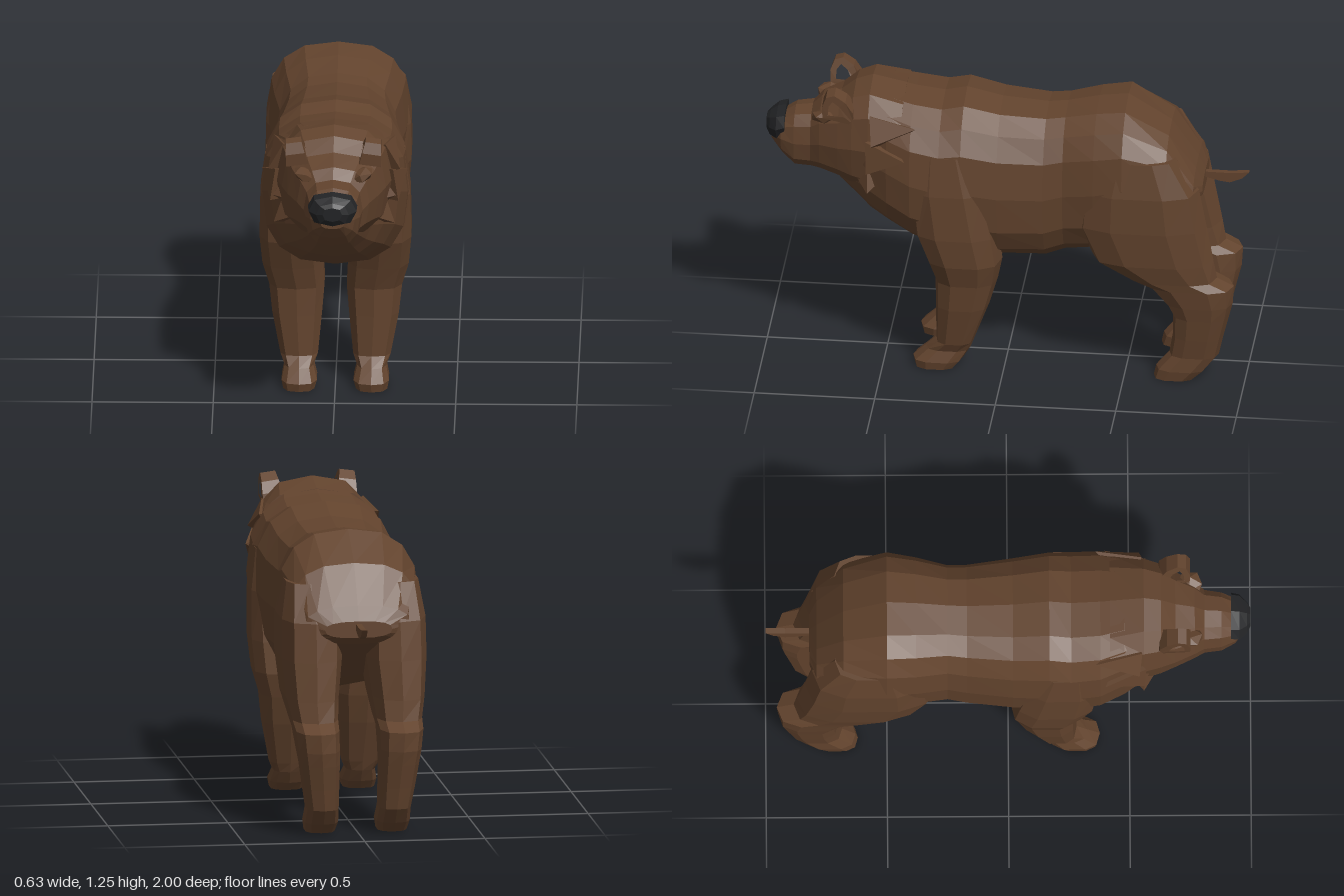
import * as THREE from 'three';

const brown = new THREE.MeshStandardMaterial({ color: 0x62432d });
brown.name = 'brown fur';
const black = new THREE.MeshStandardMaterial({ color: 0x222325 });
black.name = 'black nose';

// faceted mesh: unshared corners give flat normals
function facet(name, geometry, material = brown) {
  const g = geometry.index ? geometry.toNonIndexed() : geometry;
  g.computeVertexNormals();
  const mesh = new THREE.Mesh(g, material);
  mesh.name = name;
  return mesh;
}

const pow = (v, e) => Math.sign(v) * Math.pow(Math.abs(v), e);

// closed skin through rings of n points, with a cap at both ends
function loft(rings, n) {
  const idx = [];
  for (let i = 0; i < rings.length - 1; i++) {
    for (let j = 0; j < n; j++) {
      const a = i * n + j, b = i * n + (j + 1) % n, c = a + n, d = b + n;
      idx.push(a, b, d, a, d, c);
    }
  }
  const last = (rings.length - 1) * n;
  for (let j = 1; j < n - 1; j++) {
    idx.push(0, j + 1, j, last, last + j, last + j + 1);
  }
  const g = new THREE.BufferGeometry();
  g.setAttribute('position', new THREE.Float32BufferAttribute(rings.flat(2), 3));
  g.setIndex(idx);
  return g;
}

// sections along z: [z, top, bottom, half width]
function alongZ(sections, n, e) {
  return loft(sections.map(([z, top, bottom, w]) => Array.from({ length: n }, (_, j) => {
    const t = (j / n) * Math.PI * 2;
    return [w * pow(Math.cos(t), e), (top + bottom) / 2 + (top - bottom) / 2 * pow(Math.sin(t), e), z];
  })), n);
}

// sections going up: [y, inner x, outer x, back z, front z], on one side of the body
function alongY(sections, side, n = 10, e = 0.72) {
  return loft(sections.map(([y, x0, x1, z0, z1]) => Array.from({ length: n }, (_, j) => {
    const t = ((j + 0.5) / n) * Math.PI * 2;
    return [side * (x0 + x1) / 2 + (x1 - x0) / 2 * pow(Math.cos(t), e) * 1.03, y,
      (z0 + z1) / 2 - (z1 - z0) / 2 * pow(Math.sin(t), e)];
  })), n);
}

// flat-sided fur tuft from a base point to a tip, thinned across x
function tuft(base, tip, radius) {
  const a = new THREE.Vector3(...base), b = new THREE.Vector3(...tip);
  const dir = b.clone().sub(a);
  const g = new THREE.ConeGeometry(radius, dir.length(), 4);
  g.applyQuaternion(new THREE.Quaternion().setFromUnitVectors(new THREE.Vector3(0, 1, 0), dir.normalize()));
  const mid = a.add(b).multiplyScalar(0.5);
  return g.translate(mid.x, mid.y, mid.z);
}

// outline given as [z, y], extruded to a thickness across x
function plateX(outline, thickness, hole) {
  const pts = (list) => list.map(([z, y]) => new THREE.Vector2(-z, y));
  const shape = new THREE.Shape(pts(outline));
  if (hole) shape.holes.push(new THREE.Path(pts(hole)));
  const g = new THREE.ExtrudeGeometry(shape, { depth: thickness, bevelEnabled: false });
  return g.translate(0, 0, -thickness / 2).rotateY(Math.PI / 2);
}

// arched ear, open through the middle, wide at the base and narrow at the crown
function earShape(side) {
  const g = plateX([
    [0.75, 1.14], [0.752, 1.19], [0.735, 1.235], [0.7, 1.245], [0.655, 1.215], [0.625, 1.17], [0.615, 1.11],
  ], 0.09, [
    [0.728, 1.155], [0.725, 1.195], [0.708, 1.217], [0.68, 1.195], [0.66, 1.15],
  ]);
  const p = g.attributes.position;
  for (let i = 0; i < p.count; i++) {
    const taper = 1 - 3.2 * Math.max(0, p.getY(i) - 1.15);
    p.setX(i, p.getX(i) * taper);
  }
  return g.translate(0, -1.12, 0).rotateZ(-side * 0.14).translate(side * 0.148, 1.12, 0);
}

export function createModel() {
  const model = new THREE.Group();
  model.name = 'bear';

  // trunk from rump to throat
  model.add(facet('body', alongZ([
    [-0.82, 0.89, 0.82, 0.14],
    [-0.79, 0.95, 0.79, 0.22],
    [-0.68, 1.11, 0.72, 0.265],
    [-0.5, 1.22, 0.6, 0.295],
    [-0.38, 1.205, 0.55, 0.28],
    [-0.25, 1.175, 0.53, 0.253],
    [-0.17, 1.165, 0.5, 0.26],
    [0.02, 1.18, 0.5, 0.285],
    [0.17, 1.215, 0.51, 0.3],
    [0.26, 1.195, 0.53, 0.305],
    [0.38, 1.21, 0.57, 0.3],
    [0.48, 1.23, 0.625, 0.265],
    [0.56, 1.22, 0.67, 0.215],
    [0.61, 1.15, 0.715, 0.17],
    [0.69, 1.08, 0.785, 0.12],
  ], 16, 0.77)));

  // head and muzzle
  model.add(facet('head', alongZ([
    [0.42, 1.22, 0.76, 0.265],
    [0.56, 1.25, 0.76, 0.235],
    [0.63, 1.225, 0.78, 0.215],
    [0.69, 1.175, 0.81, 0.19],
    [0.77, 1.14, 0.83, 0.15],
    [0.81, 1.1, 0.833, 0.122],
    [0.88, 1.09, 0.835, 0.112],
    [0.935, 1.055, 0.89, 0.092],
    [0.978, 1.0, 0.945, 0.05],
  ], 12, 0.77)));

  // nose pad on the end of the muzzle
  model.add(facet('nose', alongZ([
    [0.92, 1.088, 0.97, 0.102],
    [0.955, 1.08, 0.95, 0.099],
    [0.985, 1.06, 0.96, 0.068],
    [1.0, 1.045, 0.985, 0.04],
  ], 8, 0.8), black));

  // short flat tail
  model.add(facet('tail', plateX([
    [-1, 0.885], [-0.97, 0.855], [-0.92, 0.835], [-0.88, 0.84], [-0.8, 0.86], [-0.78, 0.88], [-0.92, 0.878],
  ], 0.024)));

  for (const side of [1, -1]) {
    const label = side > 0 ? 'left' : 'right';

    model.add(facet(label + 'FrontLeg', alongY([
      [0, 0.085, 0.215, 0.2, 0.37],
      [0.035, 0.075, 0.222, 0.17, 0.378],
      [0.085, 0.09, 0.21, 0.14, 0.325],
      [0.125, 0.072, 0.228, 0.125, 0.282],
      [0.3, 0.055, 0.262, 0.06, 0.283],
      [0.42, 0.045, 0.275, 0.025, 0.285],
      [0.52, 0.05, 0.303, 0.005, 0.32],
      [0.65, 0.06, 0.314, 0.02, 0.37],
      [0.85, 0.1, 0.31, 0.06, 0.39],
      [1.02, 0.12, 0.288, 0.12, 0.36],
    ], side)));

    model.add(facet(label + 'HindLeg', alongY([
      [0, 0.09, 0.21, -0.79, -0.62],
      [0.045, 0.08, 0.218, -0.84, -0.63],
      [0.11, 0.085, 0.215, -0.89, -0.685],
      [0.2, 0.085, 0.23, -0.91, -0.7],
      [0.3, 0.085, 0.245, -0.935, -0.7],
      [0.36, 0.085, 0.255, -0.95, -0.67],
      [0.44, 0.085, 0.265, -0.955, -0.6],
      [0.475, 0.08, 0.27, -0.885, -0.52],
      [0.56, 0.07, 0.288, -0.87, -0.37],
      [0.72, 0.05, 0.302, -0.84, -0.3],
      [0.88, 0.05, 0.3, -0.81, -0.32],
      [1.03, 0.1, 0.275, -0.715, -0.4],
    ], side)));

    model.add(facet(label + 'Ear', earShape(side)));

    // brow ridge above the eye socket
    const brow = new THREE.IcosahedronGeometry(1, 0);
    brow.scale(0.055, 0.03, 0.06).rotateZ(side * 0.35).translate(side * 0.115, 1.1, 0.75);
    model.add(facet(label + 'Brow', brow));

    // cheek and neck fur
    const tufts = [
      [[0.15, 0.96, 0.53], [0.255, 0.94, 0.56], 0.12],
      [[0.14, 0.9, 0.55], [0.25, 0.82, 0.56], 0.1],
      [[0.19, 1.08, 0.52], [0.25, 1.13, 0.36], 0.09],
      [[0.2, 0.98, 0.52], [0.3, 1.0, 0.4], 0.1],
    ];
    for (const [[bx, by, bz], [tx, ty, tz], r] of tufts) {
      model.add(facet(label + 'FurTuft', tuft([side * bx, by, bz], [side * tx, ty, tz], r)));
    }
  }
  return model;
}
